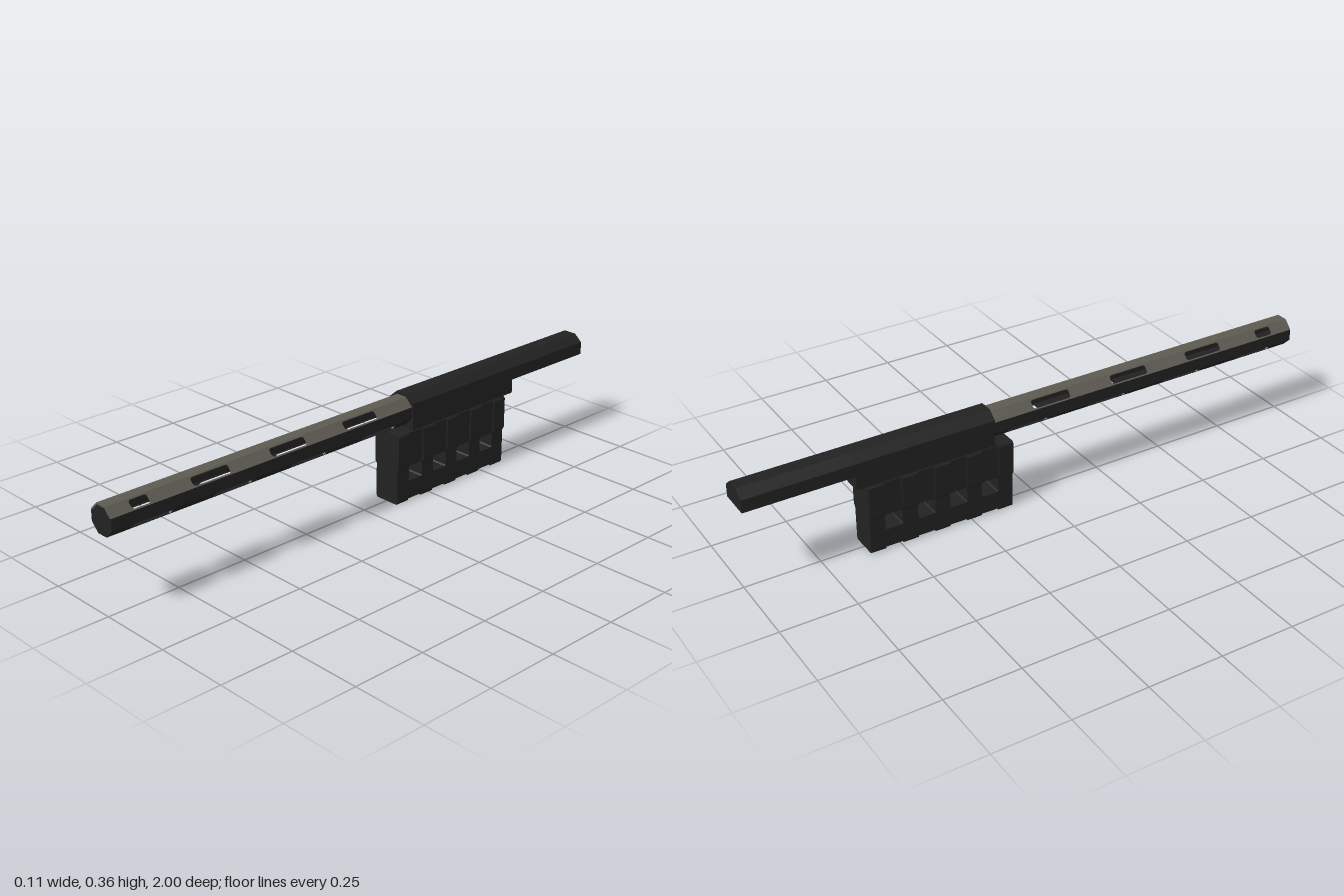
import * as THREE from 'three';

const black = new THREE.MeshStandardMaterial({ name: 'matte black', color: 0x222222 });
const grey = new THREE.MeshStandardMaterial({ name: 'warm grey', color: 0x5c5a51 });

const polygon = (pts) => new THREE.Shape(pts.map(([x, y]) => new THREE.Vector2(x, y)));

// Rectangle with clipped corners, used for slots and windows
function clippedHole(x0, x1, y0, y1, c) {
  return new THREE.Path([
    [x0 + c, y0], [x1 - c, y0], [x1, y0 + c], [x1, y1 - c],
    [x1 - c, y1], [x0 + c, y1], [x0, y1 - c], [x0, y0 + c],
  ].map(([x, y]) => new THREE.Vector2(x, y)));
}

// Extrude an (x, y) section from z0 to z1
function extrudeZ(pts, z0, z1) {
  const g = new THREE.ExtrudeGeometry(polygon(pts), { depth: z1 - z0, bevelEnabled: false });
  return g.translate(0, 0, z0);
}

// Extrude a (z, y) outline from x = 0 towards -x
function extrudeX(shape, depth) {
  return new THREE.ExtrudeGeometry(shape, { depth, bevelEnabled: false }).rotateY(-Math.PI / 2);
}

function add(parent, name, geometry, material) {
  const mesh = new THREE.Mesh(geometry, material);
  mesh.name = name;
  parent.add(mesh);
  return mesh;
}

// Hollow octagonal tube made of eight panels; the diagonal ones are slotted
function makeTube() {
  const tube = new THREE.Group();
  tube.name = 'slottedTube';
  const apothem = 0.047, cy = 0.304, back = -0.2, front = 1;
  const half = apothem * Math.tan(Math.PI / 8);
  const upperSlots = [[-0.02, 0.12], [0.275, 0.415], [0.57, 0.71], [0.86, 0.925]];
  const lowerSlots = [[-0.105, 0.04], [0.19, 0.335], [0.485, 0.63], [0.78, 0.925]];
  for (let i = 0; i < 8; i++) {
    const shape = polygon([[back, -half], [front, -half], [front, half], [back, half]]);
    if (i % 2) {
      for (const [a, b] of i < 4 ? upperSlots : lowerSlots) {
        shape.holes.push(clippedHole(a, b, -0.0145, 0.0145, 0.006));
      }
    }
    const g = extrudeX(shape, 0.005);
    g.translate(apothem, 0, 0).rotateZ(i * Math.PI / 4).translate(0, cy, 0);
    add(tube, 'tubePanel', g, i >= 1 && i <= 3 ? grey : black);
  }
  // Closed front end
  const cap = new THREE.CylinderGeometry(0.0495, 0.0495, 0.01, 8);
  cap.rotateY(Math.PI / 8).rotateX(Math.PI / 2).translate(0, cy, 0.994);
  add(tube, 'tubeEndCap', cap, black);
  return tube;
}

// Sleeve with bevelled top; its rear half is cut away underneath
function makeSleeve() {
  const sleeve = new THREE.Group();
  sleeve.name = 'sleeve';
  const section = (bottom) => [
    [-0.052, bottom], [0.052, bottom], [0.052, 0.335],
    [0.023, 0.36], [-0.023, 0.36], [-0.052, 0.335],
  ];
  add(sleeve, 'sleeveFront', extrudeZ(section(0.245), -0.64, -0.165), black);
  add(sleeve, 'sleeveRear', extrudeZ(section(0.292), -1, -0.64), black);
  return sleeve;
}

// Mount block with four windows, five raised ribs and a toothed underside
function makeMount() {
  const mount = new THREE.Group();
  mount.name = 'mountBlock';
  const z0 = -0.603, z1 = -0.102, pitch = 0.1125, rib = 0.052;
  const body = polygon([[z0, 0.008], [z1, 0.008], [z1, 0.239], [z0, 0.239]]);
  for (let i = 0; i < 4; i++) {
    const start = z0 + i * pitch + rib;
    body.holes.push(clippedHole(start, start + pitch - rib, 0.07, 0.124, 0.004));
  }
  add(mount, 'mountBody', extrudeX(body, 0.096).translate(0.048, 0, 0), black);

  const ribSection = [
    [-0.047, 0.12], [0.047, 0.12], [0.0535, 0.129], [0.0535, 0.235],
    [0.049, 0.241], [-0.049, 0.241], [-0.0535, 0.235], [-0.0535, 0.129],
  ];
  const toothSection = [[-0.044, 0], [0.044, 0], [0.048, 0.009], [-0.048, 0.009]];
  for (let i = 0; i < 5; i++) {
    const start = z0 + i * pitch;
    add(mount, 'mountRib', extrudeZ(ribSection, start - 0.001, start + rib), black);
    add(mount, 'mountTooth', extrudeZ(toothSection, start, start + rib), black);
  }
  return mount;
}

export function createModel() {
  const model = new THREE.Group();
  model.name = 'tubeOnMount';
  model.add(makeTube(), makeSleeve(), makeMount());
  return model;
}
